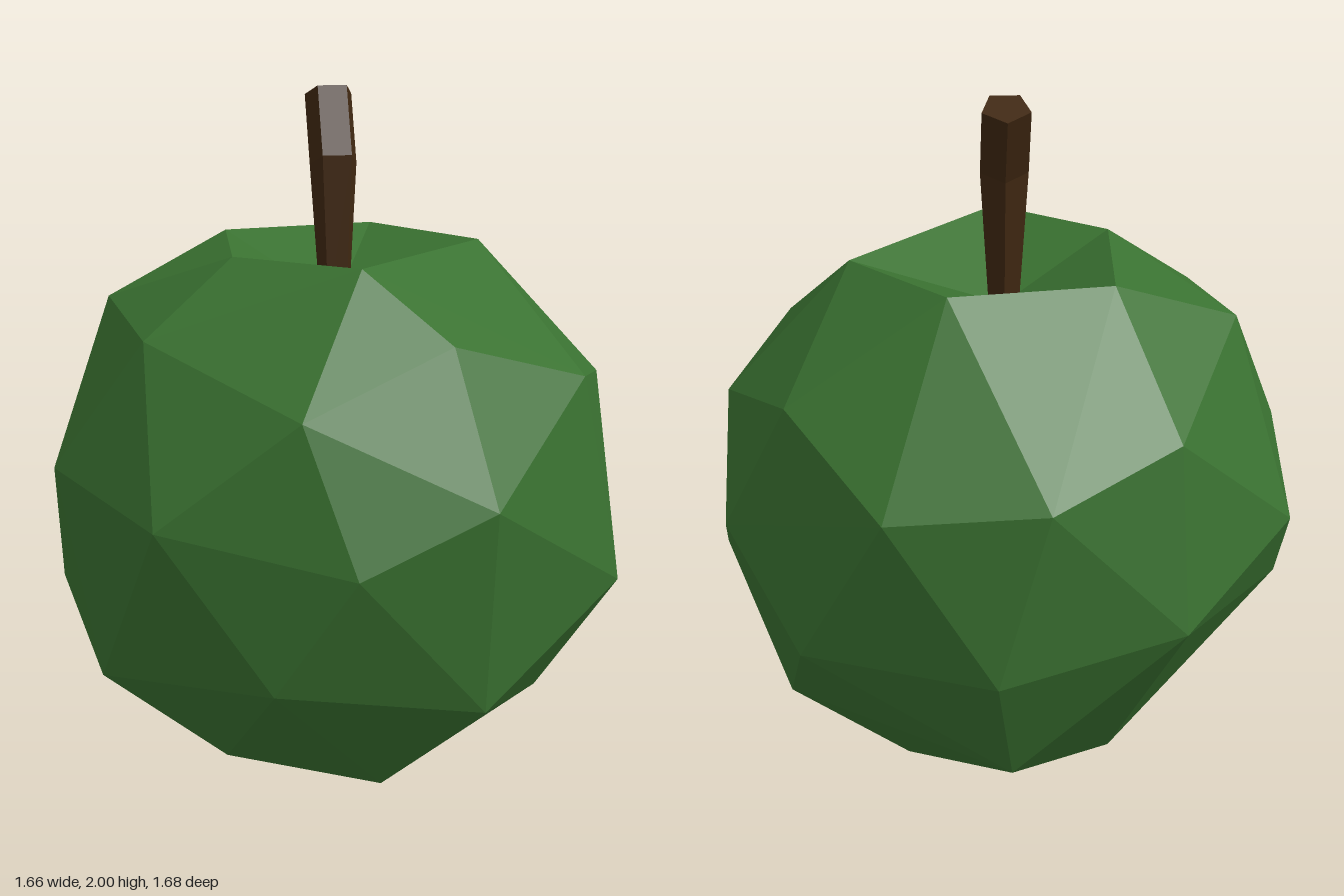
import * as THREE from 'three';
import { ConvexGeometry } from 'three/addons/geometries/ConvexGeometry.js';

const V = (p) => new THREE.Vector3(...p);

function flatMesh(name, points, material) {
  const geometry = new THREE.BufferGeometry().setFromPoints(points);
  geometry.computeVertexNormals();
  const mesh = new THREE.Mesh(geometry, material);
  mesh.name = name;
  return mesh;
}

// Uneven facet corners, ring by ring, clockwise seen from above
const rim = [
  [0.44, 1.54, -0.08], [0, 1.555, 0.42], [-0.32, 1.55, 0.15], [-0.28, 1.54, -0.37], [0.18, 1.54, -0.44],
].map(V);
const shoulder = [
  [0.8, 1.14, -0.02], [0.63, 1.235, 0.43], [0.22, 1.37, 0.595], [-0.21, 1.21, 0.72], [-0.585, 1.35, 0.3],
  [-0.65, 1.385, -0.18], [-0.43, 1.19, -0.67], [-0.07, 1.07, -0.84], [0.37, 1.03, -0.78], [0.625, 1.23, -0.43],
].map(V);
const belly = [
  [0.74, 0.64, 0.45], [0.305, 0.96, 0.78], [-0.08, 0.81, 0.84], [-0.595, 0.9, 0.62], [-0.835, 0.96, 0.15],
  [-0.79, 0.845, -0.39], [-0.45, 0.665, -0.74], [0.07, 0.57, -0.84], [0.6, 0.57, -0.6], [0.805, 0.85, -0.33],
].map(V);
const underside = [
  [0.83, 0.62, 0.06], [0.3, 0.36, 0.69], [-0.29, 0.46, 0.73], [-0.72, 0.36, 0.24], [-0.81, 0.55, -0.11],
  [0.02, 0.21, -0.66], [0.64, 0.3, -0.3], [0.59, 0.2, 0.13], [-0.38, 0.15, 0.385],
].map(V);
const base = [[0.07, 0.02, 0.37], [-0.31, 0, -0.17], [0.3, 0.03, -0.22]].map(V);

export function createModel() {
  const group = new THREE.Group();
  group.name = 'apple';
  const skin = new THREE.MeshStandardMaterial({ color: 0x3a7231 });
  skin.name = 'green skin';
  const bark = new THREE.MeshStandardMaterial({ color: 0x402811 });
  bark.name = 'brown stem';

  // Faceted body, left open inside the top rim
  const hull = new ConvexGeometry([...rim, ...shoulder, ...belly, ...underside, ...base]).attributes.position;
  const body = [];
  for (let i = 0; i < hull.count; i += 3) {
    const tri = [0, 1, 2].map((k) => new THREE.Vector3().fromBufferAttribute(hull, i + k));
    if (!tri.every((p) => p.y > 1.5)) body.push(...tri);
  }
  group.add(flatMesh('body', body, skin));

  // Sunken hollow around the stem
  const pit = new THREE.Vector3(0, 1.38, -0.01);
  const hollow = rim.flatMap((p, i) => [rim[(i + 1) % rim.length], p, pit]);
  group.add(flatMesh('hollow', hollow, skin));

  // Five-sided stem bent backwards: centre y, centre z, radius, tilt
  const rings = [
    [1.37, -0.016, 0.045, 0],
    [1.787, -0.034, 0.072, 0.4],
    [1.977, -0.124, 0.072, 0.4],
  ].map(([y, z, r, tilt]) => Array.from({ length: 5 }, (_, i) => {
    const a = Math.PI + (i * Math.PI * 2) / 5;
    const out = r * Math.cos(a);
    return new THREE.Vector3(r * Math.sin(a), y + out * Math.sin(tilt), z + out * Math.cos(tilt));
  }));
  const stem = [];
  for (let j = 0; j < 2; j++) {
    for (let i = 0; i < 5; i++) {
      const k = (i + 1) % 5;
      const [a, b, c, d] = [rings[j][i], rings[j][k], rings[j + 1][k], rings[j + 1][i]];
      stem.push(a, b, c, a, c, d);
    }
  }
  const [bottom, , top] = rings;
  for (let i = 1; i < 4; i++) {
    stem.push(top[0], top[i], top[i + 1], bottom[0], bottom[i + 1], bottom[i]);
  }
  group.add(flatMesh('stem', stem, bark));
  return group;
}
